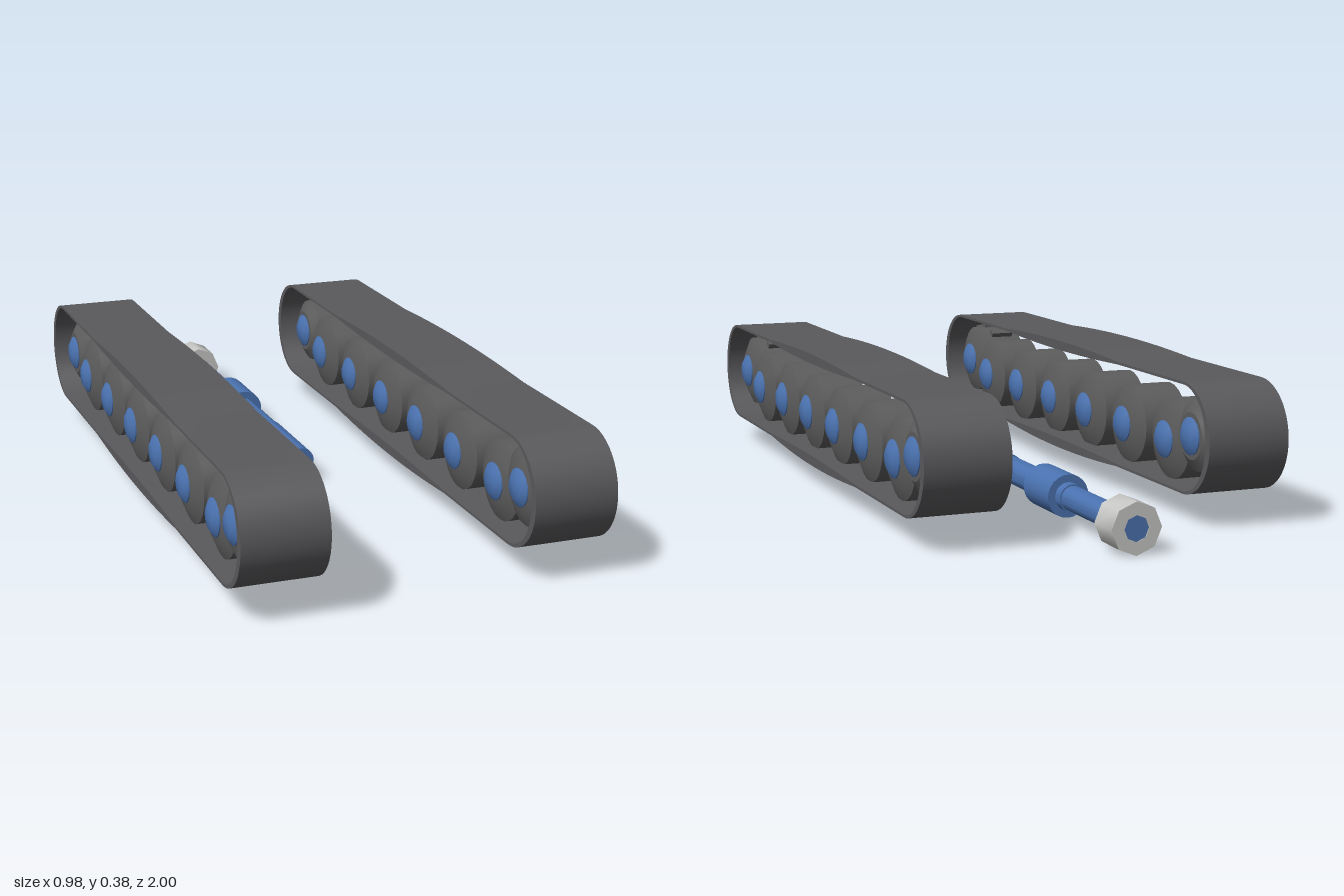
import * as THREE from 'three';
import { toCreasedNormals } from 'three/addons/utils/BufferGeometryUtils.js';

const material = (name, color) => {
  const m = new THREE.MeshStandardMaterial({ color });
  m.name = name;
  return m;
};

const TRACK_X = 0.3775, TRACK_WIDTH = 0.225;

function mesh(name, geometry, mat) {
  const m = new THREE.Mesh(geometry, mat);
  m.name = name;
  return m;
}

// Turned solid from [radius, height] pairs, lowest first
function turned(profile, sides = 24) {
  const points = profile.map(([r, h]) => new THREE.Vector2(r, h));
  return toCreasedNormals(new THREE.LatheGeometry(points, sides), 0.5);
}

// Side outline of the belt: two rounded ends joined by slightly bowed runs
function beltOutline(path, rx, ry, topBow, bottomBow) {
  const front = 0.855, back = -0.72, y = 0.222, mid = (front + back) / 2;
  path.absellipse(front, y, rx, ry, -Math.PI / 2, Math.PI / 2, false);
  path.lineTo(mid + 0.4, y + ry);
  path.quadraticCurveTo(mid, y + ry + 2 * topBow, mid - 0.4, y + ry);
  path.lineTo(back, y + ry);
  path.absellipse(back, y, rx, ry, Math.PI / 2, Math.PI * 1.5, false);
  path.lineTo(mid - 0.4, y - ry);
  path.quadraticCurveTo(mid, y - ry - 2 * bottomBow, mid + 0.4, y - ry);
  path.closePath();
  return path;
}

function beltGeometry() {
  const shape = beltOutline(new THREE.Shape(), 0.145, 0.145, 0.011, 0.015);
  shape.holes.push(beltOutline(new THREE.Path(), 0.122, 0.138, -0.009, -0.006));
  const geometry = new THREE.ExtrudeGeometry(shape, { depth: TRACK_WIDTH, bevelEnabled: false, curveSegments: 16 });
  geometry.rotateY(-Math.PI / 2).translate(TRACK_WIDTH / 2, 0, 0);
  return toCreasedNormals(geometry, 0.5);
}

export function createModel() {
  const model = new THREE.Group();
  model.name = 'trackedChassis';
  const rubber = material('trackGrey', 0x5a595c);
  const steel = material('wheelGrey', 0x5c5c5c);
  const blue = material('blue', 0x4a72b0);
  const pale = material('paleGrey', 0xc8c8c6);

  const belt = beltGeometry();
  const wheelGeometry = (r) => turned([
    [0, -0.082], [0.062, -0.082], [r, -0.062], [r, 0.062], [0.062, 0.082], [0, 0.082],
  ]).rotateZ(Math.PI / 2);
  const roadWheel = wheelGeometry(0.108);
  const sprocket = wheelGeometry(0.104);
  const idler = wheelGeometry(0.095);
  const hub = turned([
    [0, -0.1], [0.03, -0.097], [0.05, -0.085], [0.05, 0.085], [0.03, 0.097], [0, 0.1],
  ], 16).rotateZ(Math.PI / 2);
  const tooth = new THREE.BoxGeometry(0.07, 0.03, 0.022);

  // Wheel with its hub on one axle
  function axle(name, geometry, y, z) {
    const group = new THREE.Group();
    group.name = name;
    group.position.set(0, y, z);
    group.add(mesh('wheelDisc', geometry, steel), mesh('hub', hub, blue));
    return group;
  }

  // Running gear on both sides
  for (const side of [-1, 1]) {
    const track = new THREE.Group();
    track.name = side > 0 ? 'leftTrack' : 'rightTrack';
    track.position.x = side * TRACK_X;
    track.add(mesh('belt', belt, rubber));
    for (let i = 0; i < 6; i++) {
      track.add(axle('roadWheel', roadWheel, 0.19, 0.705 - i * 0.2525));
    }
    track.add(axle('idlerWheel', idler, 0.222, -0.705));

    // Drive sprocket with ten teeth
    const drive = axle('driveSprocket', sprocket, 0.222, 0.848);
    for (let i = 0; i < 10; i++) {
      const a = (i / 10) * Math.PI * 2;
      const t = mesh('sprocketTooth', tooth, steel);
      t.position.set(0, Math.cos(a) * 0.104, Math.sin(a) * 0.104);
      t.rotation.x = a;
      drive.add(t);
    }
    track.add(drive);
    model.add(track);
  }

  // Stepped barrel pointing backwards, with a pale octagonal end ring
  const gun = new THREE.Group();
  gun.name = 'barrelAssembly';
  gun.position.y = 0.067;
  const barrel = turned([
    [0, -0.07], [0.039, -0.07], [0.039, 0.2], [0.036, 0.2], [0.036, 0.44], [0.057, 0.44],
    [0.057, 0.6], [0.037, 0.6], [0.037, 0.63], [0.033, 0.63], [0.033, 0.998], [0, 0.998],
  ]).rotateX(-Math.PI / 2);
  gun.add(mesh('barrel', barrel, blue));
  const endRing = new THREE.LatheGeometry(
    [[0.033, 0.903], [0.067, 0.903], [0.067, 1], [0.033, 1], [0.033, 0.903]].map(([r, h]) => new THREE.Vector2(r, h)), 8,
  ).rotateX(-Math.PI / 2);
  gun.add(mesh('endRing', toCreasedNormals(endRing, 0.9), pale));
  model.add(gun);

  return model;
}
